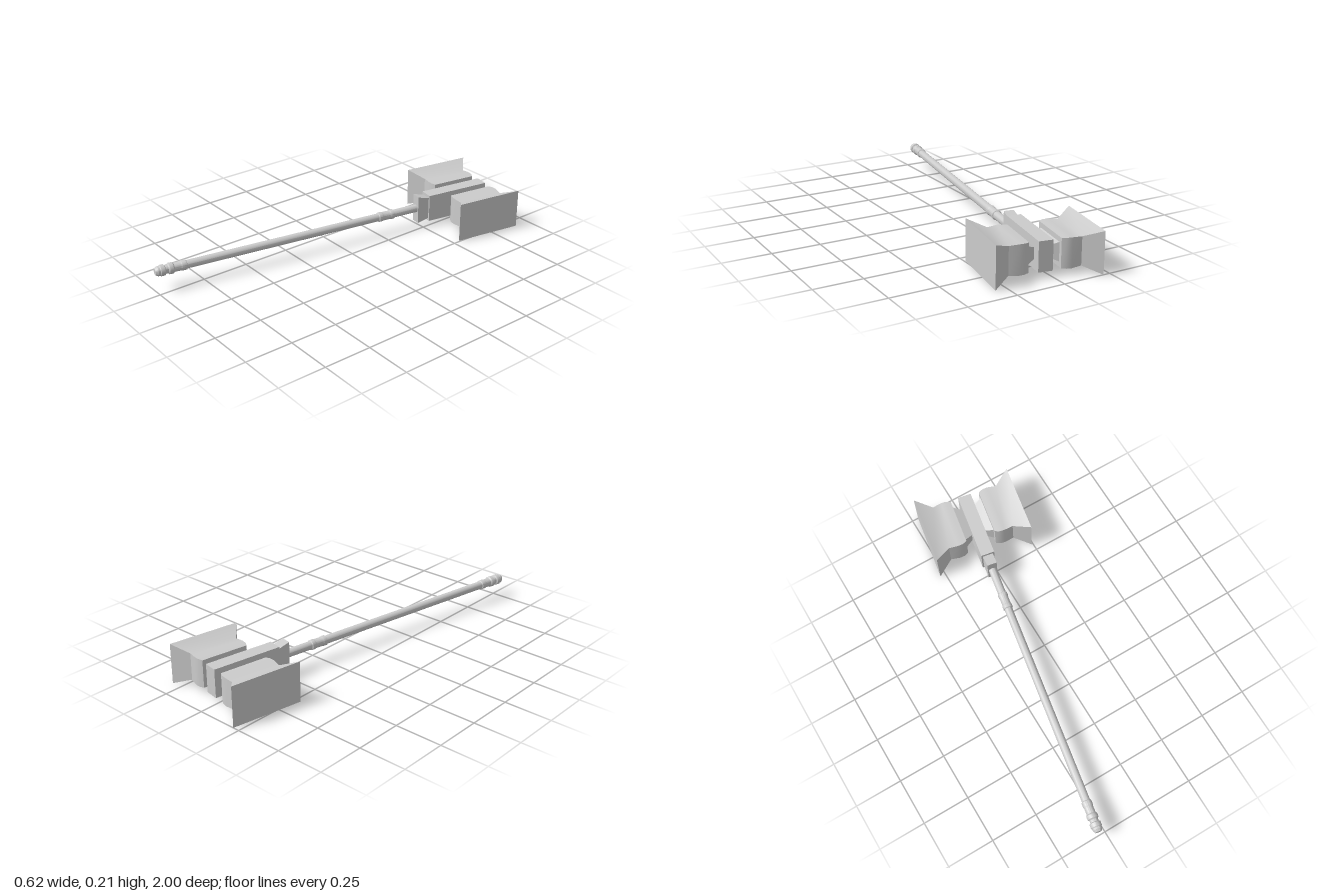
import * as THREE from 'three';
import { toCreasedNormals } from 'three/addons/utils/BufferGeometryUtils.js';

const material = new THREE.MeshStandardMaterial({ color: 0xcccccc });

// Closed solid through rectangular sections [x, halfHeight, halfDepth] along x.
function loft(sections) {
  const positions = [];
  const index = [];
  const quad = (a, b, c, d) => index.push(a, b, c, a, c, d);
  for (const [x, h, d] of sections) {
    positions.push(x, h, d, x, h, -d, x, -h, -d, x, -h, d);
  }
  for (let i = 0; i < sections.length - 1; i++) {
    for (let k = 0; k < 4; k++) {
      const p = i * 4, q = p + 4, n = (k + 1) % 4;
      quad(p + k, q + k, q + n, p + n);
    }
  }
  const e = (sections.length - 1) * 4;
  quad(0, 1, 2, 3);
  quad(e, e + 3, e + 2, e + 1);
  const geometry = new THREE.BufferGeometry();
  geometry.setAttribute('position', new THREE.Float32BufferAttribute(positions, 3));
  geometry.setIndex(index);
  return toCreasedNormals(geometry, 0.5);
}

function addPart(parent, name, geometry) {
  const mesh = new THREE.Mesh(geometry, material);
  mesh.name = name;
  parent.add(mesh);
  return mesh;
}

// Turned shaft along +z with raised bands and a bevelled pommel.
function handleGeometry() {
  const shaft = 0.0215;
  const bands = [ // start, end, radius
    [0.445, 0.468, 0.026], [0.468, 0.515, 0.0235], [0.515, 0.54, 0.026],
    [1.63, 1.66, 0.026], [1.66, 1.70, 0.0235], [1.70, 1.725, 0.029],
  ];
  const profile = [[0, 0.27], [shaft, 0.27]];
  let last = 0.27;
  for (const [start, end, radius] of bands) {
    if (start > last) profile.push([shaft, last], [shaft, start]);
    profile.push([radius, start + 0.003], [radius, end - 0.003]);
    last = end;
  }
  profile.push([0.022, 1.728], [0.022, 1.742], [0.029, 1.746], [0.029, 1.766],
    [0.025, 1.77], [0.025, 1.78], [0.017, 1.793], [0, 1.793]);
  const points = profile.map(([r, t]) => new THREE.Vector2(r, t));
  const geometry = new THREE.LatheGeometry(points, 16);
  geometry.rotateX(Math.PI / 2);
  return toCreasedNormals(geometry, 0.5);
}

export function createModel() {
  const model = new THREE.Group();
  model.name = 'warHammer';

  // The hammer lies on its side, turned slightly about the vertical.
  const hammer = new THREE.Group();
  hammer.name = 'hammer';
  hammer.position.set(0.0137, 0.107, -0.77);
  hammer.rotation.y = -0.171;
  model.add(hammer);

  // Two flared striking heads, each joined to the centre by a tapered neck
  const headShape = loft([
    [0.08, 0.073, 0.124], [0.103, 0.0745, 0.134], [0.13, 0.075, 0.136],
    [0.18, 0.071, 0.129], [0.265, 0.106, 0.188],
  ]);
  const neckShape = loft([[0.03, 0.027, 0.078], [0.082, 0.048, 0.104]]);
  for (const [side, turn] of [['left', 0], ['right', Math.PI]]) {
    const half = new THREE.Group();
    half.name = side + 'Half';
    half.rotation.y = turn;
    addPart(half, side + 'StrikingHead', headShape);
    addPart(half, side + 'Neck', neckShape);
    hammer.add(half);
  }

  // Central block that holds the head on the shaft
  const block = addPart(hammer, 'centreBlock', new THREE.BoxGeometry(0.072, 0.15, 0.367));
  block.position.z = 0.0515;

  // Collar flaring towards the grip
  const collar = loft([[0.23, 0.058, 0.028], [0.3, 0.077, 0.026]]);
  collar.rotateY(-Math.PI / 2);
  addPart(hammer, 'collar', collar);

  // Handle
  const handle = addPart(hammer, 'handle', handleGeometry());
  handle.position.y = 0.003;

  return model;
}
